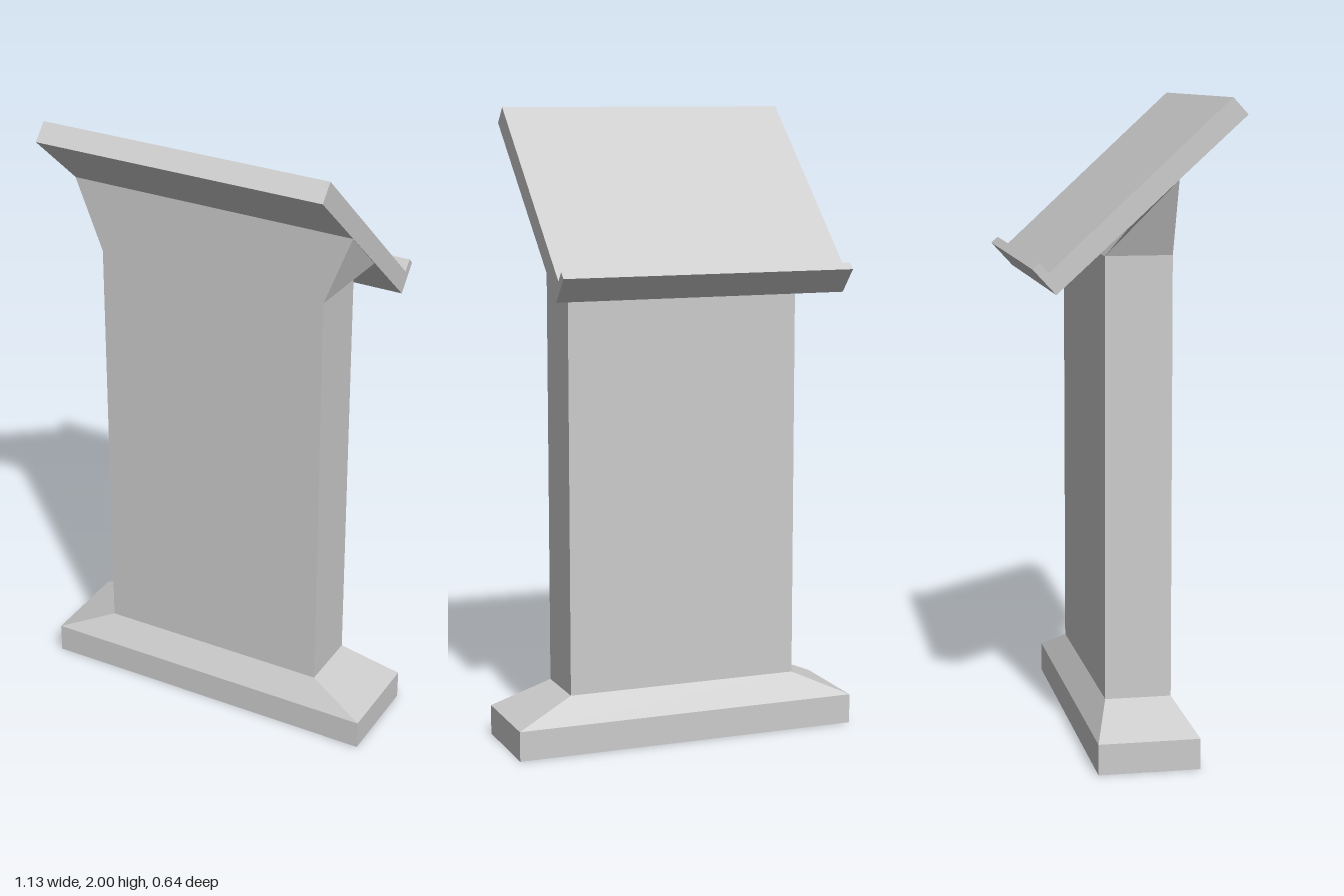
import * as THREE from 'three';

const material = new THREE.MeshStandardMaterial({ color: 0xcccccc, flatShading: true });

// Rectangular section: half width, front and back z, height at front and back
const section = (w, front, back, yFront, yBack = yFront) => [
  [-w, yFront, front], [w, yFront, front], [w, yBack, back], [-w, yBack, back],
];

// Closed solid through a stack of four-cornered sections
function loft(name, sections) {
  const positions = [];
  const quad = (a, b, c, d) => positions.push(...a, ...b, ...c, ...a, ...c, ...d);
  for (let s = 0; s < sections.length - 1; s++) {
    const lo = sections[s], hi = sections[s + 1];
    for (let i = 0; i < 4; i++) {
      const j = (i + 1) % 4;
      quad(lo[i], lo[j], hi[j], hi[i]);
    }
  }
  quad(...[...sections[0]].reverse());
  quad(...sections[sections.length - 1]);
  const geometry = new THREE.BufferGeometry();
  geometry.setAttribute('position', new THREE.Float32BufferAttribute(positions, 3));
  geometry.computeVertexNormals();
  const mesh = new THREE.Mesh(geometry, material);
  mesh.name = name;
  return mesh;
}

export function createModel() {
  const group = new THREE.Group();
  group.name = 'lectern';

  const foot = section(0.565, 0.168, -0.144, 0);
  const footTop = section(0.565, 0.168, -0.144, 0.095);
  const columnFoot = section(0.38, 0.115, -0.09, 0.177);
  const columnTop = section(0.38, 0.115, -0.09, 1.535);
  const flareTop = section(0.47, 0.115, -0.038, 1.763, 1.622);

  // Plinth with sloped shoulders, slab column, and neck widening to the board
  group.add(
    loft('base', [foot, footTop, columnFoot]),
    loft('column', [columnFoot, columnTop]),
    loft('neck', [columnTop, flareTop]),
  );

  // Sloped reading board with a paper-stop lip, profile in (z, y)
  const profile = [
    [0.32, 1.95], [0.274, 2.0], [-0.272, 1.497],
    [-0.299, 1.527], [-0.32, 1.508], [-0.25, 1.432],
  ];
  const shape = new THREE.Shape(profile.map(([z, y]) => new THREE.Vector2(z, y)));
  const geometry = new THREE.ExtrudeGeometry(shape, { depth: 0.94, bevelEnabled: false });
  geometry.translate(0, 0, -0.47).rotateY(-Math.PI / 2);
  const board = new THREE.Mesh(geometry, material);
  board.name = 'readingBoard';
  group.add(board);

  return group;
}
